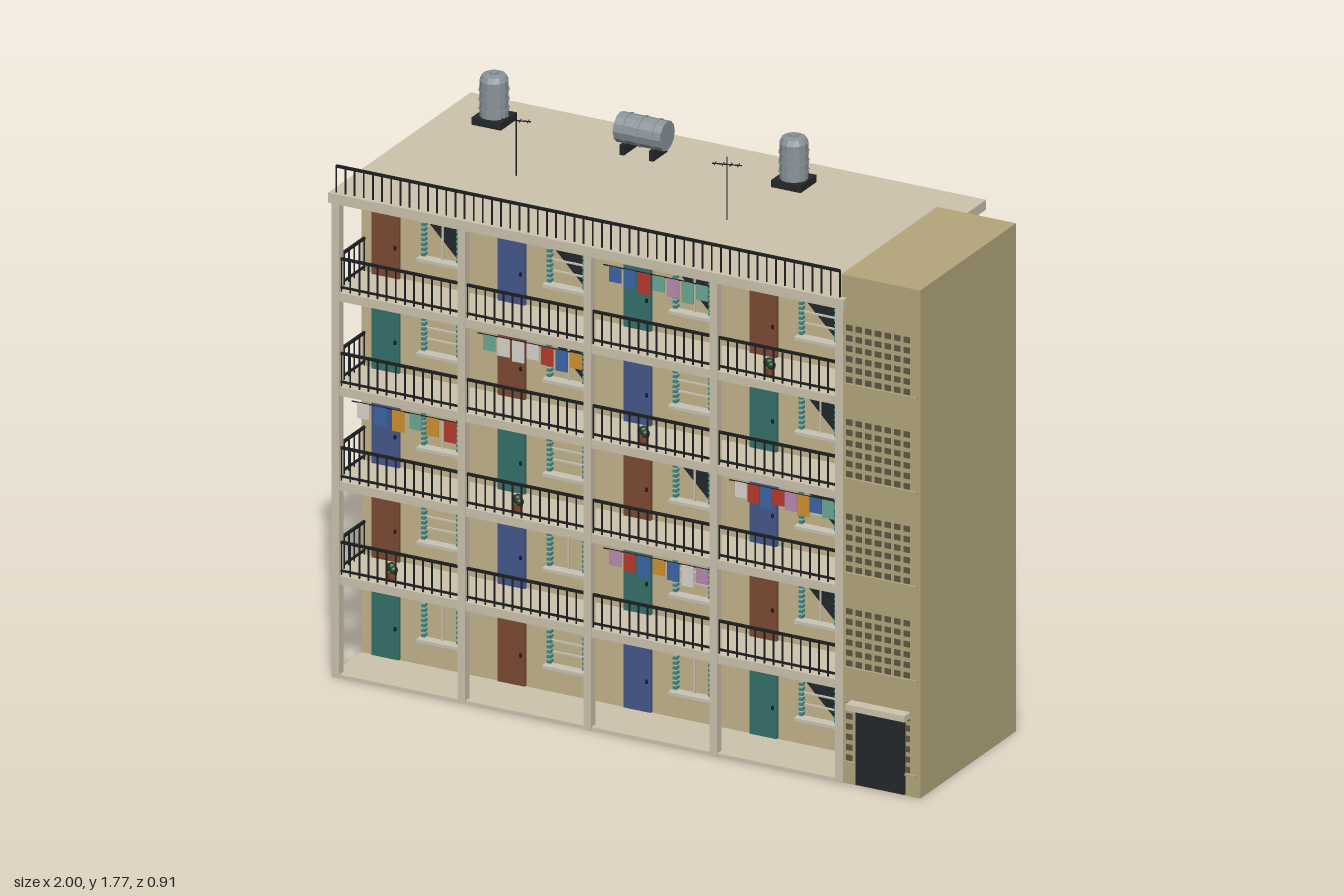
import * as THREE from 'three';
import { mergeGeometries } from 'three/addons/utils/BufferGeometryUtils.js';

const mat = (color, opts = {}) => new THREE.MeshStandardMaterial({ color, ...opts });
const M = {
  wall: mat(0xc4b48a), tower: mat(0xb4a67c), concrete: mat(0xcdc3ae), iron: mat(0x1c1e20),
  dark: mat(0x23282a), steel: mat(0x8a9499, { flatShading: true }), vent: mat(0x5d5644),
  frame: mat(0xc9c4b4), unit: mat(0xd2d0c8), pot: mat(0x8a4a30), leaf: mat(0x24402a, { flatShading: true }),
};
const teal = 0x35706a, brown = 0x7d4a34, blue = 0x44588c;
const doorMats = [teal, brown, blue].map((c) => mat(c));
const shutter = mat(0x3f8a84);
const clothColors = { w: 0xd8d4cc, b: 0x3a66a8, r: 0xb83a2c, t: 0x6aa894, p: 0xb88ab0, o: 0xd09030 };
const clothMats = Object.fromEntries(Object.entries(clothColors).map(([k, c]) => [k, mat(c)]));

const FLOOR = 0.305, BAY = 0.4275, LEFT = -0.982, WALL_Z = 0.235, FRONT_Z = 0.42;
const floorY = (f) => (f ? 0.025 + f * FLOOR : 0.015);
const bayX = (b) => LEFT + b * BAY;

// box geometry given by its extents
function span(x0, x1, y0, y1, z0, z1) {
  return new THREE.BoxGeometry(x1 - x0, y1 - y0, z1 - z0)
    .translate((x0 + x1) / 2, (y0 + y1) / 2, (z0 + z1) / 2);
}
function box(w, h, d, x, y, z) {
  return new THREE.BoxGeometry(w, h, d).translate(x, y, z);
}
function add(parent, name, material, ...geos) {
  const mesh = new THREE.Mesh(geos.length > 1 ? mergeGeometries(geos) : geos[0], material);
  mesh.name = name;
  parent.add(mesh);
  return mesh;
}
function group(parent, name, x = 0, y = 0, z = 0) {
  const g = new THREE.Group();
  g.name = name;
  g.position.set(x, y, z);
  parent.add(g);
  return g;
}

// bars standing between two rails, running along x
function railing(length, height, low) {
  const geos = [box(length, 0.008, 0.008, length / 2, height, 0)];
  if (low) geos.push(box(length, 0.006, 0.006, length / 2, low, 0));
  const n = Math.round(length / 0.031);
  for (let i = 0; i <= n; i++) geos.push(box(0.004, height, 0.004, (i * length) / n, height / 2, 0));
  return mergeGeometries(geos);
}

function makeWindow(parent, x, y, halfDark, cross) {
  const g = group(parent, 'window', x, y, WALL_Z);
  const w = 0.135, h = 0.125, t = 0.01;
  add(g, 'windowFrame', M.frame,
    box(w, t, 0.016, 0, h / 2, 0.006), box(w + 0.016, t, 0.036, 0, -h / 2, 0.016),
    box(t, h, 0.016, -w / 2 + t / 2, 0, 0.006), box(t, h, 0.016, w / 2 - t / 2, 0, 0.006));
  const bars = cross === 0 ? [box(0.005, h, 0.006, 0, 0, 0.006)]
    : [box(w - t, 0.005, 0.006, 0, 0.018, 0.006), box(w - t, 0.005, 0.006, 0, -0.018, 0.006)];
  add(g, 'windowBars', M.frame, ...bars);
  // louvred shutters folded against both sides
  const slats = [];
  for (const s of [-1, 1]) for (let i = 0; i < 7; i++) slats.push(box(0.012, 0.008, 0.02, s * 0.06, -0.048 + i * 0.016, 0.012));
  add(g, 'shutters', shutter, ...slats);
  if (halfDark) {
    const s = new THREE.Shape([[-0.055, 0.056], [0.055, -0.056], [0.055, 0.056]].map((p) => new THREE.Vector2(...p)));
    add(g, 'windowGlass', M.dark, new THREE.ShapeGeometry(s).translate(0, 0, 0.002));
  }
}

function airConditioner(parent, x, y) {
  const g = group(parent, 'airConditioner', x, y, WALL_Z);
  add(g, 'unitCase', M.unit, box(0.072, 0.052, 0.04, 0, 0, 0.02));
  add(g, 'unitFan', M.dark, new THREE.CylinderGeometry(0.019, 0.019, 0.004, 14).rotateX(Math.PI / 2).translate(0.012, 0, 0.041));
}

function laundry(parent, x, y, code) {
  const g = group(parent, 'laundry', x, y, 0.385);
  add(g, 'clothesLine', M.iron, box(0.36, 0.003, 0.003, 0.215, 0, 0));
  [...code].forEach((c, i) => {
    const h = 0.05 + ((i * 7) % 3) * 0.009;
    add(g, 'garment', clothMats[c], box(0.04, h, 0.004, 0.075 + (i * 0.295) / (code.length - 1), -h / 2, 0));
  });
}

function plant(parent, x, y) {
  const g = group(parent, 'pottedPlant', x, y, 0.375);
  add(g, 'pot', M.pot, new THREE.CylinderGeometry(0.017, 0.012, 0.03, 10).translate(0, 0.015, 0));
  const balls = [[0, 0.045, 0], [0.009, 0.038, 0.006], [-0.009, 0.039, -0.005]];
  add(g, 'leaves', M.leaf, ...balls.map((p) => new THREE.IcosahedronGeometry(0.014, 1).translate(...p)));
}

function waterTank(parent, x) {
  const g = group(parent, 'waterTank', x, 1.565, -0.285);
  add(g, 'tankBase', M.dark, box(0.1, 0.025, 0.1, 0, 0.0125, 0));
  const profile = [[0, 0.022], [0.044, 0.022], [0.044, 0.14], [0.036, 0.156], [0.014, 0.16], [0.014, 0.166], [0, 0.166]];
  add(g, 'tankShell', M.steel, new THREE.LatheGeometry(profile.map((p) => new THREE.Vector2(...p)), 14));
  add(g, 'tankBands', M.steel, ...[0.05, 0.08, 0.11].map((y) => new THREE.CylinderGeometry(0.0465, 0.0465, 0.006, 14).translate(0, y, 0)));
}

function antenna(parent, x, z) {
  const g = group(parent, 'antenna', x, 1.565, z);
  add(g, 'mast', M.iron, new THREE.CylinderGeometry(0.002, 0.002, 0.205, 6).translate(0, 0.1025, 0));
  const yagi = [box(0.09, 0.003, 0.003, 0, 0.18, 0)];
  for (let i = 0; i < 4; i++) yagi.push(box(0.002, 0.002, 0.03, -0.036 + i * 0.024, 0.18, 0));
  add(g, 'aerial', M.iron, ...yagi).rotation.y = 0.28;
}

export function createModel() {
  const root = new THREE.Group();
  root.name = 'apartmentBlock';

  // main block, floor slabs, roof and columns
  add(root, 'mainBlock', M.wall, span(-0.995, 0.735, 0, 1.54, -0.435, WALL_Z));
  add(root, 'groundSlab', M.concrete, span(-0.995, 0.735, 0, 0.012, WALL_Z - 0.01, FRONT_Z));
  add(root, 'roofSlab', M.concrete, span(-1, 0.75, 1.535, 1.567, -0.455, 0.435));
  for (let f = 1; f < 5; f++)
    add(root, 'balconySlab', M.concrete, span(-0.995, 0.735, floorY(f) - 0.028, floorY(f), WALL_Z - 0.01, FRONT_Z));
  for (let b = 0; b < 5; b++)
    add(root, 'column', M.concrete, span(bayX(b) - 0.013, bayX(b) + 0.013, 0, 1.54, FRONT_Z - 0.026, FRONT_Z + 0.002));

  // apartments: doors, windows and balcony railings
  const darkWindows = ['3', '3', '23', '13', '0123'];
  for (let f = 0; f < 5; f++) {
    const y = floorY(f);
    for (let b = 0; b < 4; b++) {
      const x = bayX(b);
      add(root, 'door', doorMats[(f + b) % 3], box(0.092, 0.213, 0.014, x + 0.074, y + 0.107, WALL_Z + 0.005));
      add(root, 'doorKnob', M.iron, box(0.007, 0.012, 0.008, x + 0.108, y + 0.1, WALL_Z + 0.014));
      makeWindow(root, x + 0.266, y + 0.149, darkWindows[f].includes(b), (f + b) % 2);
      if (f) add(root, 'balconyRailing', M.iron, railing(BAY - 0.026, 0.106, 0.014).translate(x + 0.013, y, 0.41));
    }
    if (f) add(root, 'sideRailing', M.iron, railing(0.16, 0.106, 0.014).rotateY(-Math.PI / 2).translate(-0.985, y, WALL_Z));
  }
  add(root, 'roofRailing', M.iron, railing(1.71, 0.085).translate(-0.98, 1.567, FRONT_Z));

  // balcony clutter, placed by [floor, bay]
  for (const [f, b] of [[0, 0], [0, 3], [1, 2], [2, 1], [3, 0], [3, 3], [4, 2]])
    airConditioner(root, bayX(b) + 0.266, floorY(f) + 0.247);
  for (const [f, b, code] of [[4, 2, 'bbrtptt'], [3, 1, 'twwwrbo'], [2, 0, 'wbotor'], [2, 3, 'wrbrpobt'], [1, 2, 'prbobwp']])
    laundry(root, bayX(b), floorY(f) + 0.252, code);
  for (let f = 1; f < 5; f++) plant(root, bayX(f - 1) + 0.166, floorY(f));

  // stair tower with ventilation blocks and ledges
  const tower = group(root, 'stairTower');
  add(tower, 'towerBody', M.tower, span(0.732, 1, 0, 1.64, -0.182, 0.415));
  for (let f = 0; f < 5; f++) {
    const vents = [];
    for (let r = 0; r < 6; r++) for (let c = 0; c < 7; c++)
      vents.push(box(0.02, 0.018, 0.006, 0.76 + c * 0.0325, 0.085 + f * FLOOR + r * 0.0335, 0.416));
    add(tower, 'ventBlocks', M.vent, ...vents);
    add(tower, 'towerLedge', M.tower, span(0.742, 0.99, 0.065 + f * FLOOR, 0.073 + f * FLOOR, 0.41, 0.422));
  }
  add(tower, 'entranceDoor', M.dark, span(0.785, 0.95, 0.005, 0.25, 0.41, 0.424));
  add(tower, 'entranceCanopy', M.concrete, span(0.766, 0.966, 0.252, 0.272, 0.41, 0.452));

  // roof equipment
  waterTank(root, -0.828);
  waterTank(root, 0.19);
  const lying = group(root, 'lyingTank', -0.32, 1.565, -0.285);
  add(lying, 'lyingTankShell', M.steel, new THREE.CylinderGeometry(0.047, 0.047, 0.16, 12).rotateZ(Math.PI / 2).translate(0, 0.073, 0));
  add(lying, 'lyingTankBands', M.steel, ...[-0.05, 0, 0.05].map((x) => new THREE.CylinderGeometry(0.0495, 0.0495, 0.006, 12).rotateZ(Math.PI / 2).translate(x, 0.073, 0)));
  add(lying, 'tankCradle', M.dark, ...[-0.05, 0.05].map((x) => box(0.014, 0.035, 0.09, x, 0.0175, 0)));
  antenna(root, -0.57, 0.05);
  antenna(root, 0.145, 0.05);
  return root;
}
